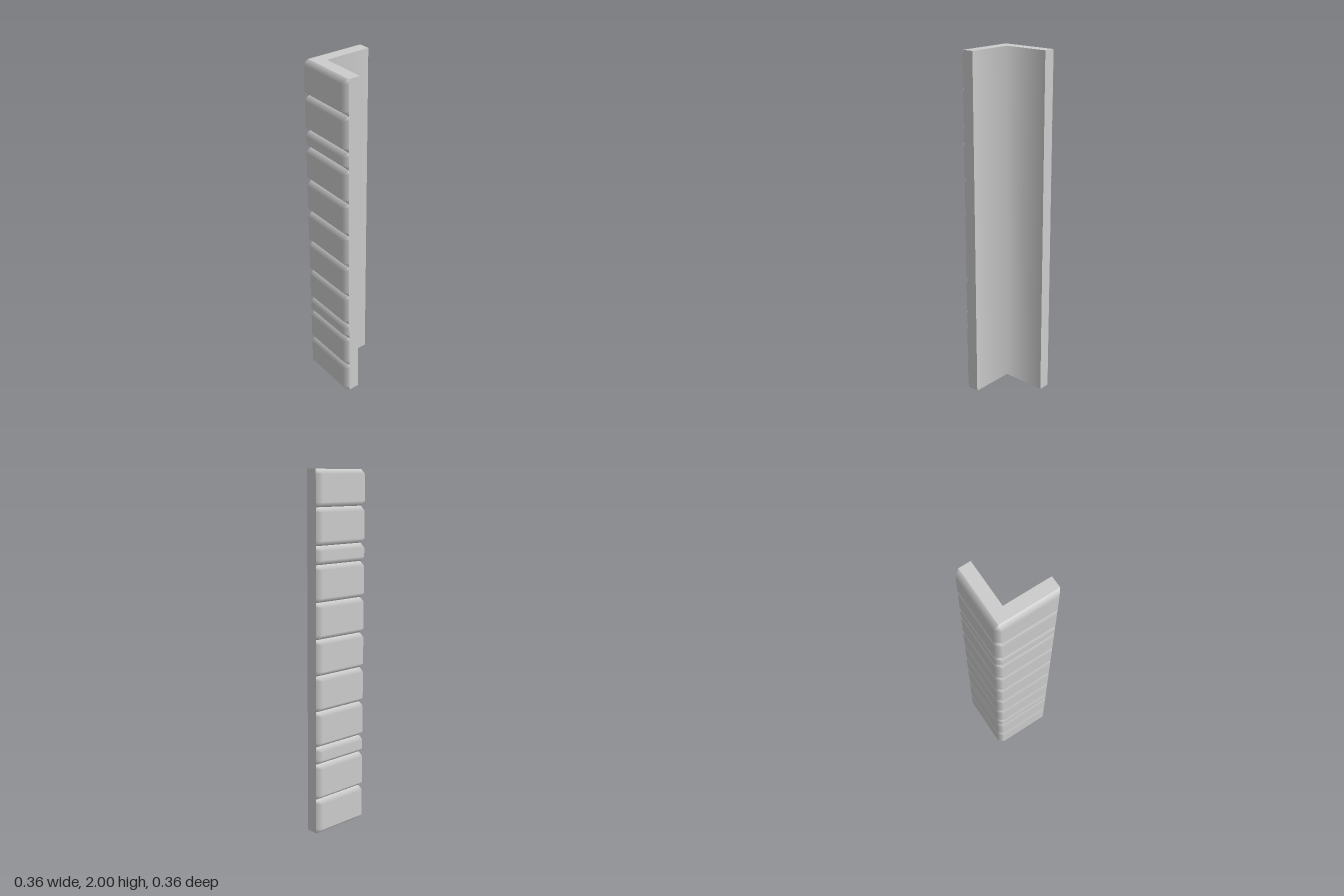
import * as THREE from 'three';

const material = new THREE.MeshStandardMaterial({ color: 0xcccccc });
const BACK = -0.182, END = 0.181, CORE = 0.152, FACE = 0.181, INNER = 0.085, BEVEL = 0.026;

// L-shaped backing, with the inside corner shaded softly
function backing() {
  const outline = [[-CORE, -CORE], [END, -CORE], [END, -INNER], [-INNER, -INNER], [-INNER, -BACK], [-CORE, -BACK]];
  const shape = new THREE.Shape(outline.map(([x, y]) => new THREE.Vector2(x, y)));
  const g = new THREE.ExtrudeGeometry(shape, { depth: 2, bevelEnabled: false });
  g.rotateX(-Math.PI / 2);
  const p = g.attributes.position, n = g.attributes.normal;
  for (let i = 0; i < p.count; i++) {
    const atCorner = Math.hypot(p.getX(i) + INNER, p.getZ(i) - INNER) < 1e-4;
    if (atCorner && Math.abs(n.getY(i)) < 0.5) n.setXYZ(i, Math.SQRT1_2, 0, -Math.SQRT1_2);
  }
  return g;
}

// Bevelled block wrapping both outer sides, as a grid of columns and rows
function block(y0, y1) {
  const start = [END, CORE], corner = [-CORE, CORE], end = [-CORE, BACK];
  const base = [start, start, corner, corner, end, end];
  const raised = [start, [0.158, FACE], [-CORE, FACE], [-0.182, CORE], [-0.182, -0.159], end];
  const normals = [[0.8, 0.6], [0, 1], [0, 1], [-1, 0], [-1, 0], [-0.6, -0.8]];
  const rows = [[y0, base, -1], [y0 + BEVEL, raised, 0], [y1 - BEVEL, raised, 0], [y1, base, 1]];
  const pos = [], nor = [], index = [];
  rows.forEach(([y, ring, tilt], r) => ring.forEach(([x, z], c) => {
    pos.push(x, y, z);
    const k = tilt ? 0.6 : 1;
    nor.push(normals[c][0] * k, tilt * 0.8, normals[c][1] * k);
    if (r < 3 && c < 5) {
      const a = r * 6 + c, b = a + 1, d = a + 6, e = a + 7;
      index.push(a, d, b, b, d, e);
    }
  }));
  const g = new THREE.BufferGeometry();
  g.setAttribute('position', new THREE.Float32BufferAttribute(pos, 3));
  g.setAttribute('normal', new THREE.Float32BufferAttribute(nor, 3));
  g.setIndex(index);
  return g;
}

export function createModel() {
  const model = new THREE.Group();
  model.name = 'cornerTrim';
  const add = (geometry, name) => {
    const mesh = new THREE.Mesh(geometry, material);
    mesh.name = name;
    model.add(mesh);
  };
  add(backing(), 'backing');

  // Stacked blocks, two of them half height
  const seams = [0, 0.2, 0.405, 0.505, 0.705, 0.905, 1.105, 1.305, 1.505, 1.605, 1.805, 2];
  for (let i = 0; i < seams.length - 1; i++) add(block(seams[i], seams[i + 1]), `block${i + 1}`);
  return model;
}
